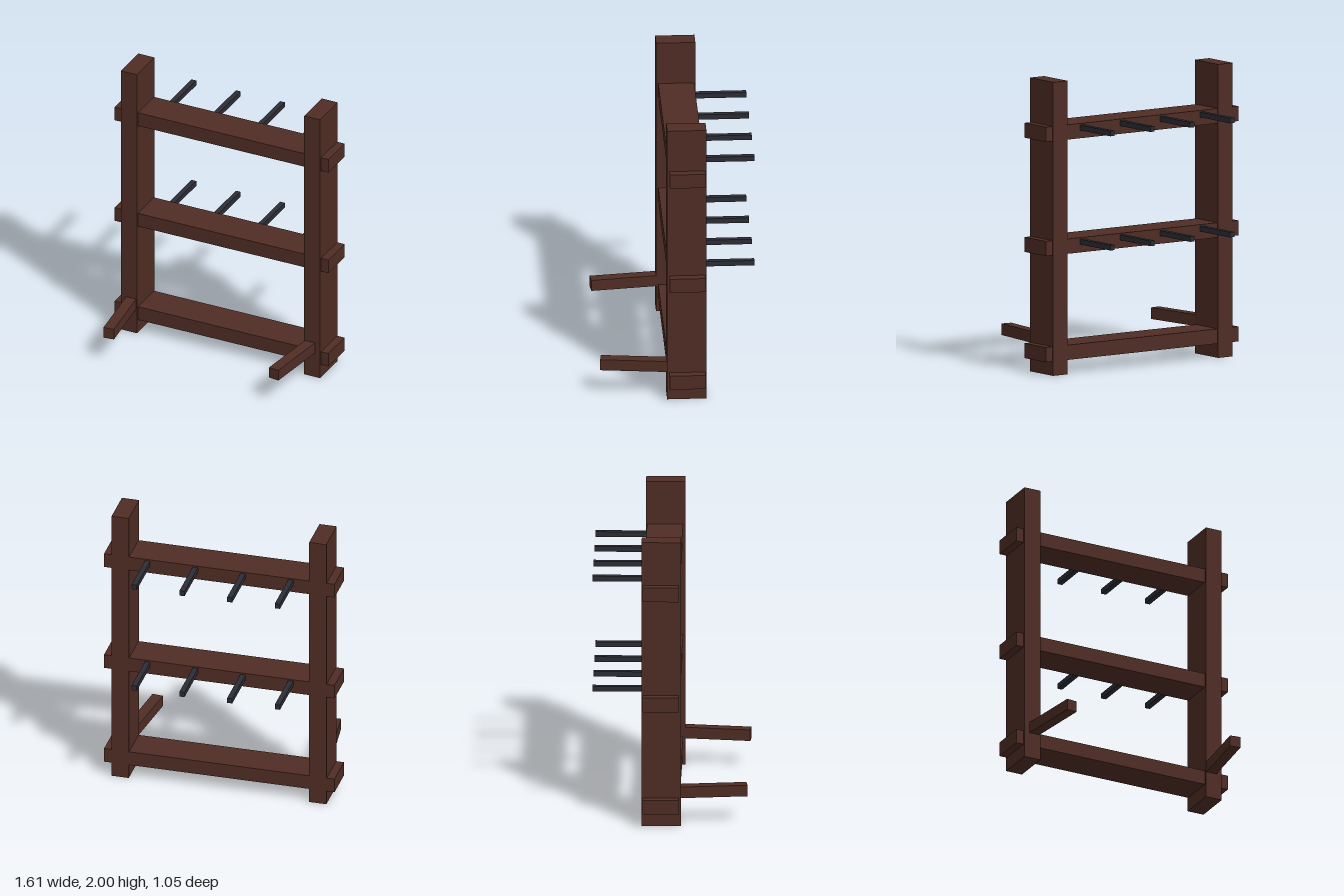
import * as THREE from 'three';

export function createModel() {
  const model = new THREE.Group();
  model.name = 'storageRack';

  const wood = new THREE.MeshStandardMaterial({ color: 0x4f2d24 });
  wood.name = 'dark brown wood';
  const metal = new THREE.MeshStandardMaterial({ color: 0x2c2d35 });
  metal.name = 'dark grey metal';

  const addBox = (name, material, size, position, turn = 0) => {
    const mesh = new THREE.Mesh(new THREE.BoxGeometry(...size), material);
    mesh.name = name;
    mesh.position.set(...position);
    mesh.rotation.y = turn;
    model.add(mesh);
  };

  // Upright posts, each with a forward foot angled slightly inward
  for (const side of [-1, 1]) {
    const label = side > 0 ? 'left' : 'right';
    addBox(label + 'Post', wood, [0.12, 2, 0.265], [side * 0.69, 1, -0.057]);
    addBox(label + 'Foot', wood, [0.075, 0.078, 0.46], [side * 0.648, 0.224, 0.29], -side * 0.117);
  }

  // Cross rails passing through the posts
  const rails = { bottomRail: 0.147, middleRail: 0.87, topRail: 1.648 };
  for (const [name, y] of Object.entries(rails)) {
    addBox(name, wood, [1.61, 0.101, 0.243], [0, y, -0.0605]);
  }

  // Pegs at the back of the two upper rails
  for (const [row, y] of [['middle', 0.892], ['top', 1.67]]) {
    for (let i = 0; i < 4; i++) {
      addBox(`${row}Peg${i + 1}`, metal, [0.036, 0.036, 0.36], [-0.5 + i / 3, y, -0.346]);
    }
  }

  return model;
}
